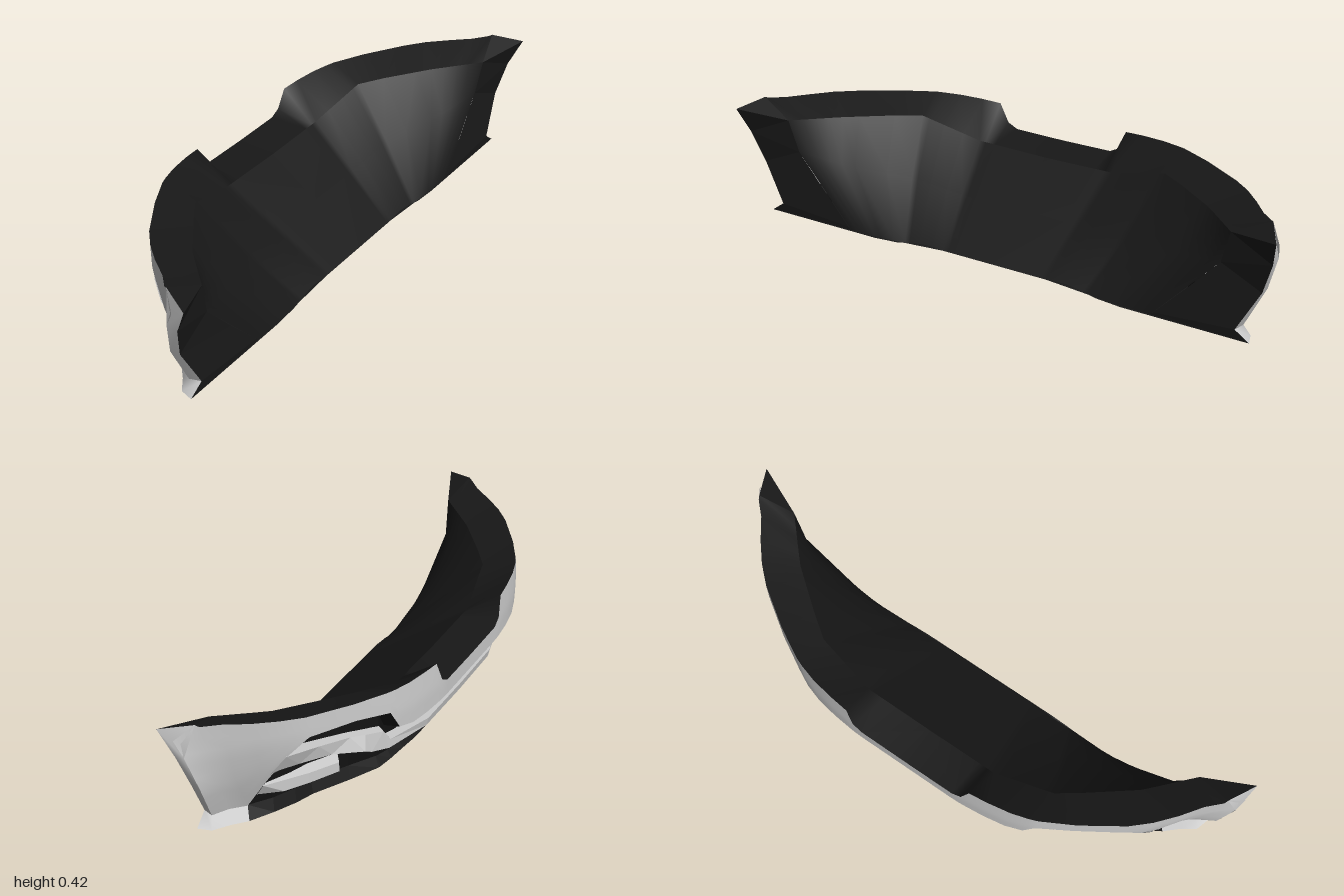
import * as THREE from 'three';

const grey = new THREE.MeshStandardMaterial({ color: 0xcccccc, side: THREE.DoubleSide });
const dark = new THREE.MeshStandardMaterial({ color: 0x181818, side: THREE.DoubleSide });

// Piecewise linear lookup in rows [key, ...values] with rising keys
function lookup(table, k) {
  const i = Math.max(1, table.findIndex(row => k <= row[0]));
  const p = table[i - 1], q = table[i];
  const t = THREE.MathUtils.clamp((k - p[0]) / (q[0] - p[0]), 0, 1);
  return p.slice(1).map((v, j) => v + (q[j + 1] - v) * t);
}

// Surface through rows of points; side = -1 mirrors it
function sheet(rows, side, smooth) {
  const n = rows[0].length, index = [];
  const position = rows.flat().flatMap(([x, y, z]) => [x * side, y, z]);
  for (let r = 0; r < rows.length - 1; r++) {
    for (let c = 0; c < n - 1; c++) {
      const a = r * n + c, b = a + 1, d = a + n, e = d + 1;
      if (side < 0) index.push(a, d, b, b, d, e);
      else index.push(a, b, d, b, e, d);
    }
  }
  let geometry = new THREE.BufferGeometry();
  geometry.setAttribute('position', new THREE.Float32BufferAttribute(position, 3));
  geometry.setIndex(index);
  if (!smooth) geometry = geometry.toNonIndexed();
  geometry.computeVertexNormals();
  return geometry;
}

// Plan stations from the centre to the wheel arch: x, z, top y, lower y, recess depth
const stations = [
  [0, -0.28, 0.278, 0.225, 1], [0.19, -0.28, 0.28, 0.225, 1],
  [0.225, -0.279, 0.30, 0.225, 1], [0.25, -0.277, 0.372, 0.225, 1],
  [0.32, -0.27, 0.377, 0.225, 1], [0.4, -0.257, 0.381, 0.226, 1],
  [0.46, -0.24, 0.384, 0.24, 1], [0.49, -0.229, 0.386, 0.31, 1],
  [0.6, -0.17, 0.39, 0.328, 1], [0.735, -0.08, 0.395, 0.32, 0.85],
  [0.795, -0.025, 0.4, 0.26, 0.6], [0.85, 0.04, 0.404, 0.16, 0.3],
  [0.9, 0.11, 0.41, 0.047, 0.05], [0.945, 0.155, 0.415, 0.044, 0],
  [1, 0.25, 0.422, 0.04, 0],
];
const last = stations.length - 1, archStart = 12;

// Sides lean inward toward the bottom; the arch edge bows forward, the nose leans back on top
const lean = y => lookup([[0.04, 0.885], [0.185, 0.95], [0.315, 0.985], [0.42, 1]], y)[0];
const archZ = y => lookup([[0.04, 0.188], [0.185, 0.177], [0.315, 0.2], [0.42, 0.25]], y)[0];
const skinPoint = (i, y) => [
  stations[i][0] * lean(y), y,
  i === last ? archZ(y) : stations[i][1] + 0.08 * Math.max(0, y - 0.29),
];

// Shift a point along the outward plan direction of a station
function offset([x, y, z], i, amount) {
  const p = stations[Math.max(0, i - 1)], q = stations[Math.min(i + 1, last)];
  const dx = q[0] - p[0], dz = q[1] - p[1], l = Math.hypot(dx, dz);
  return [i === 0 ? 0 : x + dz / l * amount, y, z - dx / l * amount];
}

// Painted outer skin
const skinRows = [];
for (let r = 0; r <= 8; r++) {
  skinRows.push(stations.map(([, , top, low], i) => skinPoint(i, top + (low - top) * r / 8)));
}

// Dark recessed shell behind the openings
const shellRows = [[1, 0], [0.83, 0.075], [0.3, 0.105], [0, 0.125]].map(([k, depth]) =>
  stations.slice(0, archStart + 1).map(([, , , low, w], i) =>
    offset(skinPoint(i, 0.045 + (low - 0.045) * k), i, -depth * w)));

// Lower lip and flat undertray
const lipTop = stations.map((s, i) => i <= archStart ? shellRows[3][i] : skinPoint(i, s[3]));
const lipBottom = lipTop.map((p, i) => {
  const [x, , z] = offset(p, i, i < archStart ? 0.016 : 0.025);
  return [x, lookup([[0, 0.025], [0.3, 0.025], [0.42, 0], [1, 0]], x)[0], z];
});
lipTop.push([0.87, 0.038, 0.225]);
lipBottom.push([0.92, 0, 0.222]);
const trayBack = lipBottom.map(([x, y]) => [x, y, 0.222]);

// Inner closing panel: a shelf from the top edge, then a slope down to the back of the tray
const across = table => stations.map(s => lookup(table, s[0]));
const shelfEdge = across([
  [0, 0, 0.272, -0.14], [0.25, 0.26, 0.276, -0.14], [0.5, 0.48, 0.345, -0.1],
  [0.8, 0.7, 0.355, 0.07], [1, 0.83, 0.37, 0.21],
]);
const slopeMiddle = across([
  [0, 0, 0.15, 0.04], [0.25, 0.23, 0.15, 0.04], [0.5, 0.43, 0.18, 0.06],
  [0.8, 0.66, 0.21, 0.15], [1, 0.8, 0.25, 0.2],
]);
const slopeFoot = across([
  [0, 0, 0.025, 0.222], [0.25, 0.2, 0.025, 0.222], [0.5, 0.36, 0.013, 0.222],
  [0.8, 0.48, 0.005, 0.222], [1, 0.58, 0.005, 0.222],
]);

// Wheel arch: outer flange, then a dark wall turning inward
const archOuter = [0.422, 0.315, 0.185, 0.04].map(y => skinPoint(last, y));
const archEdge = [[1, 0.405, 0.28], [0.98, 0.305, 0.235], [0.945, 0.185, 0.21], [0.87, 0.038, 0.225]];
const archWall = [
  [...archEdge, [0.92, 0, 0.222]],
  [[0.83, 0.37, 0.21], [0.8, 0.25, 0.2], [0.7, 0.135, 0.21], [0.59, 0.015, 0.222], [0.58, 0.005, 0.222]],
];
const tipCap = [[skinPoint(last, 0.422), [1, 0.405, 0.28]], [shelfEdge[last], shelfEdge[last]]];

// Cross bar edges from the centre outward: top, nose and underside
const barTop = [
  [0, 0.15, -0.243], [0.24, 0.15, -0.24], [0.41, 0.155, -0.19], [0.44, 0.2, -0.18],
  [0.5, 0.213, -0.148], [0.55, 0.225, -0.12], [0.66, 0.244, -0.072], [0.775, 0.262, -0.025],
];
const barNose = [
  [0, 0.121, -0.237], [0.24, 0.121, -0.234], [0.42, 0.127, -0.19], [0.485, 0.143, -0.162],
  [0.52, 0.165, -0.158], [0.61, 0.188, -0.088], [0.71, 0.197, -0.03], [0.797, 0.204, 0.016],
];
const barUnder = [
  [0, 0.112, -0.19], [0.24, 0.111, -0.187], [0.41, 0.109, -0.15], [0.46, 0.112, -0.12],
  [0.5, 0.146, -0.107], [0.59, 0.177, -0.052], [0.69, 0.184, -0.005], [0.795, 0.19, 0.025],
];
// Short fin in the side opening
const finTop = [[0.57, 0.133, -0.09], [0.665, 0.134, -0.035], [0.735, 0.135, 0.015], [0.79, 0.136, 0.055]];
const finUnder = [[0.57, 0.098, -0.09], [0.665, 0.096, -0.035], [0.735, 0.093, 0.015], [0.785, 0.091, 0.082]];

// Move an edge back into the shell, to close a bar
const inward = (edge, dx, dy, dz) => edge.map(([x, y, z]) => [Math.max(0, x - dx * Math.min(1, x * 2)), y + dy, z + dz]);
const bar = [inward(barTop, 0.04, 0, 0.05), barTop, barNose, barUnder, inward(barUnder, 0.03, 0, 0.03)];
const fin = [inward(finTop, 0.04, 0.009, 0.03), finTop, finUnder, inward(finUnder, 0.04, 0, 0.03)];
const finEnd = [[fin[0][0], fin[1][0]], [fin[3][0], fin[2][0]]];

export function createModel() {
  const model = new THREE.Group();
  model.name = 'frontBumper';
  for (const side of [1, -1]) {
    const half = new THREE.Group();
    half.name = side > 0 ? 'leftHalf' : 'rightHalf';
    const add = (name, rows, material, smooth = false) => {
      const mesh = new THREE.Mesh(sheet(rows, side, smooth), material);
      mesh.name = name;
      half.add(mesh);
    };
    add('outerSkin', skinRows, grey, true);
    add('recessShell', shellRows, dark);
    add('splitterLip', [lipTop.slice(0, archStart + 1), lipBottom.slice(0, archStart + 1)], dark);
    add('cornerLip', [lipTop.slice(archStart), lipBottom.slice(archStart)], grey, true);
    add('undertray', [lipBottom, trayBack], dark);
    add('innerShelf', [skinRows[0], shelfEdge], dark, true);
    add('innerPanel', [shelfEdge, slopeMiddle, slopeFoot], dark, true);
    add('archFlange', [archOuter, archEdge], grey, true);
    add('archTip', tipCap, dark);
    add('wheelArchWall', archWall, dark);
    add('crossBar', bar, grey);
    add('sideFin', fin, grey);
    add('finEnd', finEnd, grey);
    model.add(half);
  }
  return model;
}
